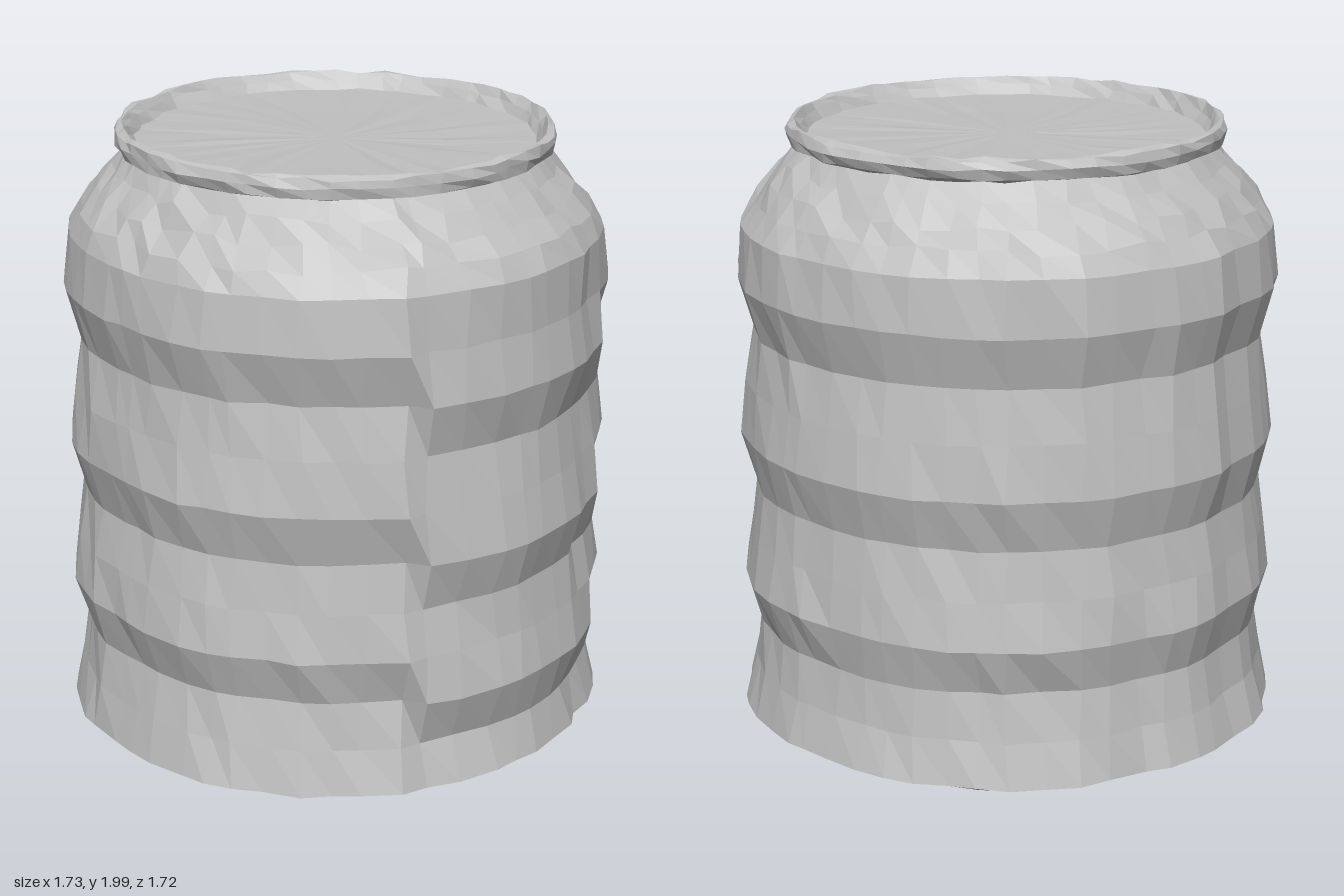
import * as THREE from 'three';

const SEG = 52;

// Repeatable noise in -1..1 for a ring and column
const noise = (row, col) => {
  const s = Math.sin(row * 127.1 + col * 311.7 + 7.3) * 43758.5453;
  return (s - Math.floor(s)) * 2 - 1;
};

// Rings as [radius, height, radial roughness, height roughness]
const baseRings = [
  [0, 0.09, 0, 0], [0.38, 0.09, 0.012, 0.004], [0.42, 0.07, 0.015, 0.008],
  [0.5, 0.035, 0.015, 0.008], [0.56, 0.018, 0.012, 0.006], [0.65, 0.016, 0.012, 0.008],
  [0.76, 0.045, 0.012, 0.01], [0.845, 0.09, 0.008, 0.002],
];
const wallHeights = [0.23, 0.38, 0.53, 0.68, 0.835, 1.0, 1.17, 1.335, 1.5, 1.67];
const wallRings = wallHeights.map((y) => [0.835, y, 0.007, 0.003]);
const shoulderRings = [
  [0.795, 1.74, 0.014, 0.012], [0.745, 1.80, 0.014, 0.014],
  [0.69, 1.86, 0.01, 0.012], [0.645, 1.915, 0.006, 0.004],
];
const rimRings = [
  [0.68, 1.925, 0.006, 0.004], [0.688, 1.955, 0.005, 0.005],
  [0.68, 1.982, 0.006, 0.007], [0.66, 1.988, 0.006, 0.007],
  [0.643, 1.965, 0.006, 0.005], [0.62, 1.935, 0.008, 0.003],
];
const lidRings = [[0.35, 1.93, 0.02, 0.003], [0, 1.93, 0, 0]];
const rings = [...baseRings, ...wallRings, ...shoulderRings, ...rimRings, ...lidRings];

// Saw-toothed ribs, one ring lower on the +x side
function ribOffset(row, angle) {
  const step = row - (baseRings.length - 1);
  if (step < 0 || step > wallHeights.length) return 0;
  const shift = Math.sin(angle) > 0.83 ? 1 : 0;
  return step === 10 ? 0 : [0.018, -0.004, -0.026][(step + shift) % 3];
}

// A revolved strip between two rings, roughened by the shared noise
function strip(name, first, last, material) {
  const part = rings.slice(first, last + 1);
  const geometry = new THREE.LatheGeometry(part.map(([r, y]) => new THREE.Vector2(r, y)), SEG);
  const pos = geometry.attributes.position;
  for (let i = 0; i < pos.count; i++) {
    const col = Math.floor(i / part.length) % SEG;
    const row = first + (i % part.length);
    const [r, y, rough, lift] = rings[row];
    const spacing = (Math.PI * 2) / SEG;
    const angle = col * spacing;
    // Wall columns lean and share their dents from ring to ring
    const turn = r ? angle + spacing * (0.22 * noise(99, col) + 0.12 * noise(row + 40, col)) : angle;
    const dent = row >= 7 && row <= 18 ? 0.007 * noise(200, col) : 0;
    const radius = r ? r + ribOffset(row, angle) + dent + rough * noise(row, col) : 0;
    pos.setXYZ(i, Math.sin(turn) * radius, y + lift * noise(row + 70, col), Math.cos(turn) * radius);
  }
  geometry.computeVertexNormals();
  const mesh = new THREE.Mesh(geometry, material);
  mesh.name = name;
  return mesh;
}

export function createModel() {
  const metal = new THREE.MeshStandardMaterial({ color: 0xc0c0c0, flatShading: true });
  metal.name = 'grey metal';

  const can = new THREE.Group();
  can.name = 'can';
  const baseEnd = baseRings.length - 1;
  const wallEnd = baseEnd + wallRings.length;
  const shoulderEnd = wallEnd + shoulderRings.length;
  const rimEnd = shoulderEnd + rimRings.length;
  can.add(
    strip('recessedBase', 0, baseEnd, metal),
    strip('ribbedWall', baseEnd, wallEnd, metal),
    strip('shoulder', wallEnd, shoulderEnd, metal),
    strip('rim', shoulderEnd, rimEnd, metal),
    strip('lid', rimEnd, rings.length - 1, metal),
  );
  return can;
}
